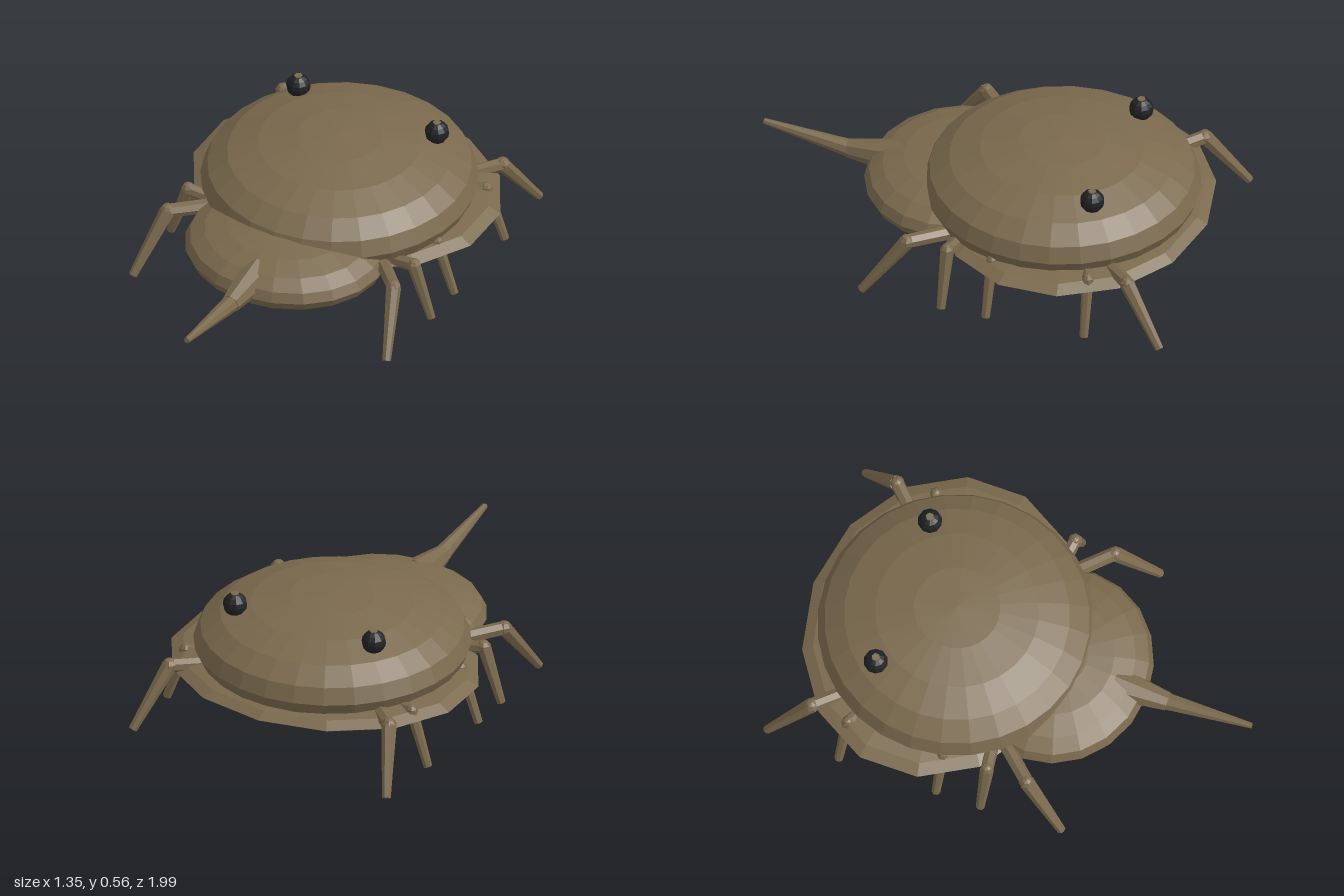
import * as THREE from 'three';

export function createModel() {
  const model = new THREE.Group();
  const shell = new THREE.MeshStandardMaterial({ color: 0x7a694d, flatShading: true });
  shell.name = 'shell brown';
  const black = new THREE.MeshStandardMaterial({ color: 0x202124, flatShading: true });
  black.name = 'eye black';

  const add = (name, geometry, material, parent = model) => {
    const mesh = new THREE.Mesh(geometry, material);
    mesh.name = name;
    parent.add(mesh);
    return mesh;
  };

  // Faceted ellipsoid with a vertex on the z axis
  const ellipsoid = (name, pos, radii, sides, rings, material = shell, parent = model) => {
    const geo = new THREE.SphereGeometry(1, sides, rings).rotateY(Math.PI / 2);
    geo.scale(...radii).translate(...pos);
    return add(name, geo, material, parent);
  };

  // Tapered limb piece between two points
  const limb = (name, from, to, r0, r1, sides, parent = model) => {
    const a = new THREE.Vector3(...from);
    const b = new THREE.Vector3(...to);
    const dir = b.clone().sub(a);
    const mesh = add(name, new THREE.CylinderGeometry(r1, r0, dir.length(), sides), shell, parent);
    mesh.position.copy(a).add(b).multiplyScalar(0.5);
    mesh.quaternion.setFromUnitVectors(new THREE.Vector3(0, 1, 0), dir.normalize());
    return mesh;
  };

  // Body: domed shell, thin skirt beneath it and the tail-end lobe
  ellipsoid('domeShell', [0, 0.32, -0.335], [0.592, 0.224, 0.595], 28, 10);
  ellipsoid('skirt', [0, 0.235, -0.4], [0.692, 0.07, 0.585], 14, 8);
  ellipsoid('rearLobe', [0, 0.243, 0.125], [0.447, 0.136, 0.4], 20, 10);

  // Tail spine
  limb('tailBase', [0, 0.272, 0.38], [0, 0.262, 0.62], 0.078, 0.042, 8);
  limb('tailSpine', [0, 0.26, 0.6], [0, 0.317, 0.998], 0.04, 0.013, 8);

  // Legs: hip, knee and foot on the left side
  const legs = [
    { hip: [0.4, 0.25, -0.66], knee: [0.535, 0.268, -0.8], foot: [0.618, 0.018, -0.972], r: 0.034 },
    { hip: [0.42, 0.24, -0.58], knee: [0.55, 0.262, -0.63], foot: [0.635, 0.016, -0.64], r: 0.027 },
    { hip: [0.42, 0.24, -0.2], knee: [0.55, 0.262, -0.2], foot: [0.635, 0.016, -0.2], r: 0.026 },
    { hip: [0.42, 0.24, -0.02], knee: [0.55, 0.265, 0], foot: [0.635, 0.016, 0], r: 0.031 },
    { hip: [0.4, 0.25, 0.02], knee: [0.55, 0.268, 0.18], foot: [0.618, 0.018, 0.362], r: 0.034 },
  ];

  for (const side of [1, -1]) {
    const label = side > 0 ? 'left' : 'right';
    const flip = ([x, y, z]) => [side * x, y, z];

    legs.forEach(({ hip, knee, foot, r }, i) => {
      const leg = new THREE.Group();
      leg.name = `${label}Leg${i + 1}`;
      model.add(leg);
      limb('upperLeg', flip(hip), flip(knee), r * 0.95, r * 0.9, 7, leg);
      ellipsoid('knee', flip(knee), [r, r, r], 7, 5, shell, leg);
      limb('lowerLeg', flip(knee), flip(foot), r, 0.019, 7, leg);
    });

    // Eye on a short stalk whose end shows at the top
    const eye = new THREE.Group();
    eye.name = `${label}Eye`;
    model.add(eye);
    ellipsoid('eyeball', [side * 0.338, 0.514, -0.58], [0.053, 0.052, 0.053], 10, 8, black, eye);
    limb('eyeStalk', [side * 0.338, 0.42, -0.58], [side * 0.338, 0.567, -0.58], 0.02, 0.018, 6, eye);
  }

  return model;
}
